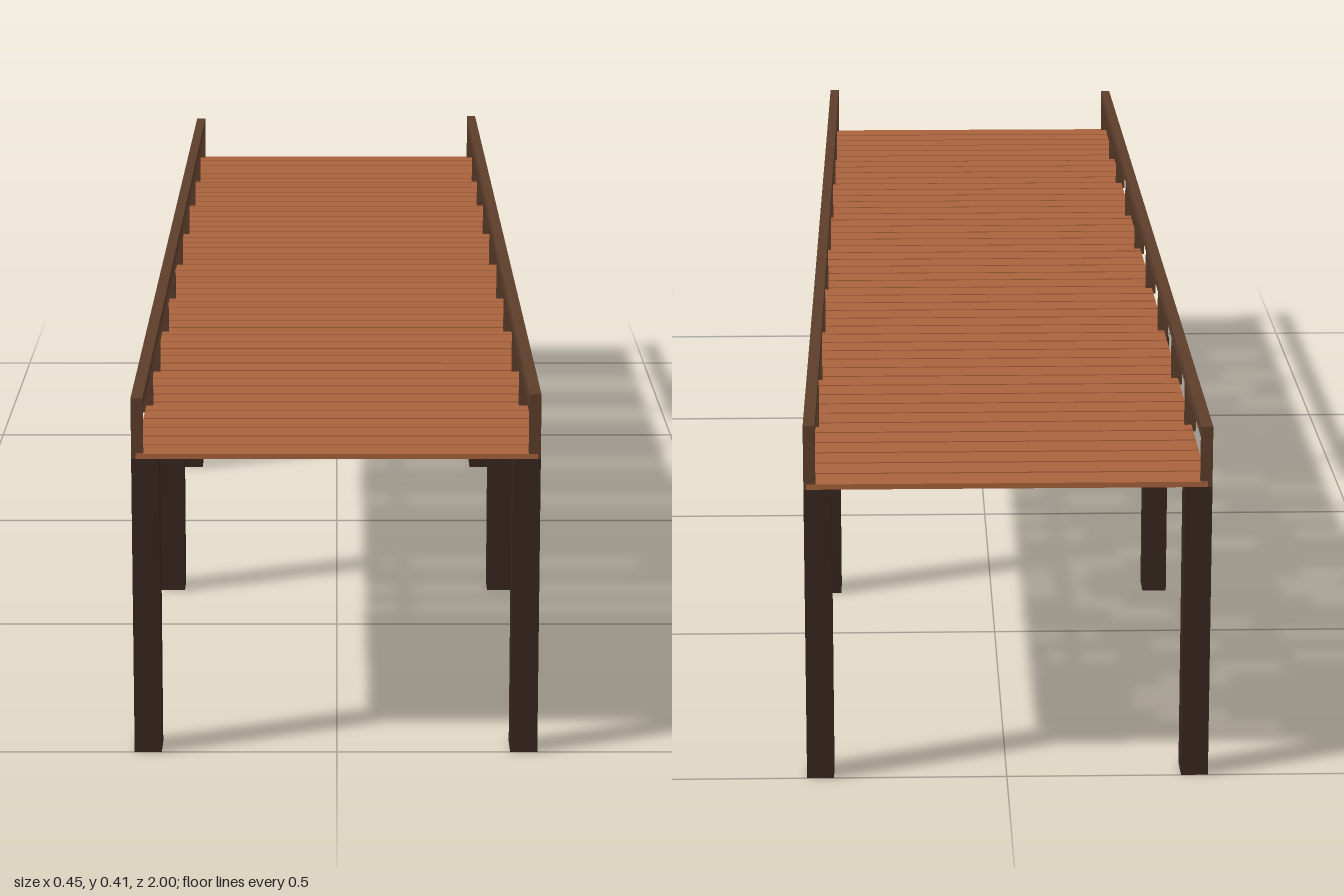
import * as THREE from 'three';

export function createModel() {
  const model = new THREE.Group();
  model.name = 'boardwalk';
  const deckWood = new THREE.MeshStandardMaterial({ color: 0xa8623c });
  const railWood = new THREE.MeshStandardMaterial({ color: 0x5c3d2a });
  const legWood = new THREE.MeshStandardMaterial({ color: 0x38251e });

  // Adds a box given its lower and upper bounds on each axis
  function addBox(parent, name, material, [x0, x1], [y0, y1], [z0, z1]) {
    const mesh = new THREE.Mesh(new THREE.BoxGeometry(x1 - x0, y1 - y0, z1 - z0), material);
    mesh.position.set((x0 + x1) / 2, (y0 + y1) / 2, (z0 + z1) / 2);
    mesh.name = name;
    parent.add(mesh);
  }

  function addGroup(name) {
    const group = new THREE.Group();
    group.name = name;
    model.add(group);
    return group;
  }

  // Deck of narrow planks with thin gaps between them
  const deck = addGroup('deck');
  const plankCount = 48, pitch = 2 / plankCount, gap = 0.004;
  for (let i = 0; i < plankCount; i++) {
    const z0 = -1 + i * pitch + (i === 0 ? 0 : gap / 2);
    const z1 = -1 + (i + 1) * pitch - (i === plankCount - 1 ? 0 : gap / 2);
    addBox(deck, 'plank', deckWood, [-0.219, 0.219], [0.334, 0.34], [z0, z1]);
  }

  // Four pairs of square legs
  const legs = addGroup('legs');
  for (const z of [0.981, 0.328, -0.322, -0.981]) {
    for (const x of [-0.209, 0.207]) {
      addBox(legs, 'leg', legWood, [x - 0.015, x + 0.015], [0, 0.334], [z - 0.019, z + 0.019]);
    }
  }

  // Handrails on unevenly spaced posts; the left rail sits slightly higher
  const postZ = [0.996, 0.765, 0.585, 0.355, 0.145, -0.09, -0.32, -0.555, -0.765, -0.996];
  const sides = [
    { name: 'rightRailing', x: [-0.224, -0.211], top: 0.402 },
    { name: 'leftRailing', x: [0.209, 0.222], top: 0.406 },
  ];
  for (const { name, x, top } of sides) {
    const railing = addGroup(name);
    addBox(railing, 'handrail', railWood, x, [top - 0.013, top], [-1, 1]);
    for (const z of postZ) {
      addBox(railing, 'post', railWood, x, [0.332, top - 0.013], [z - 0.0035, z + 0.0035]);
    }
  }
  return model;
}
